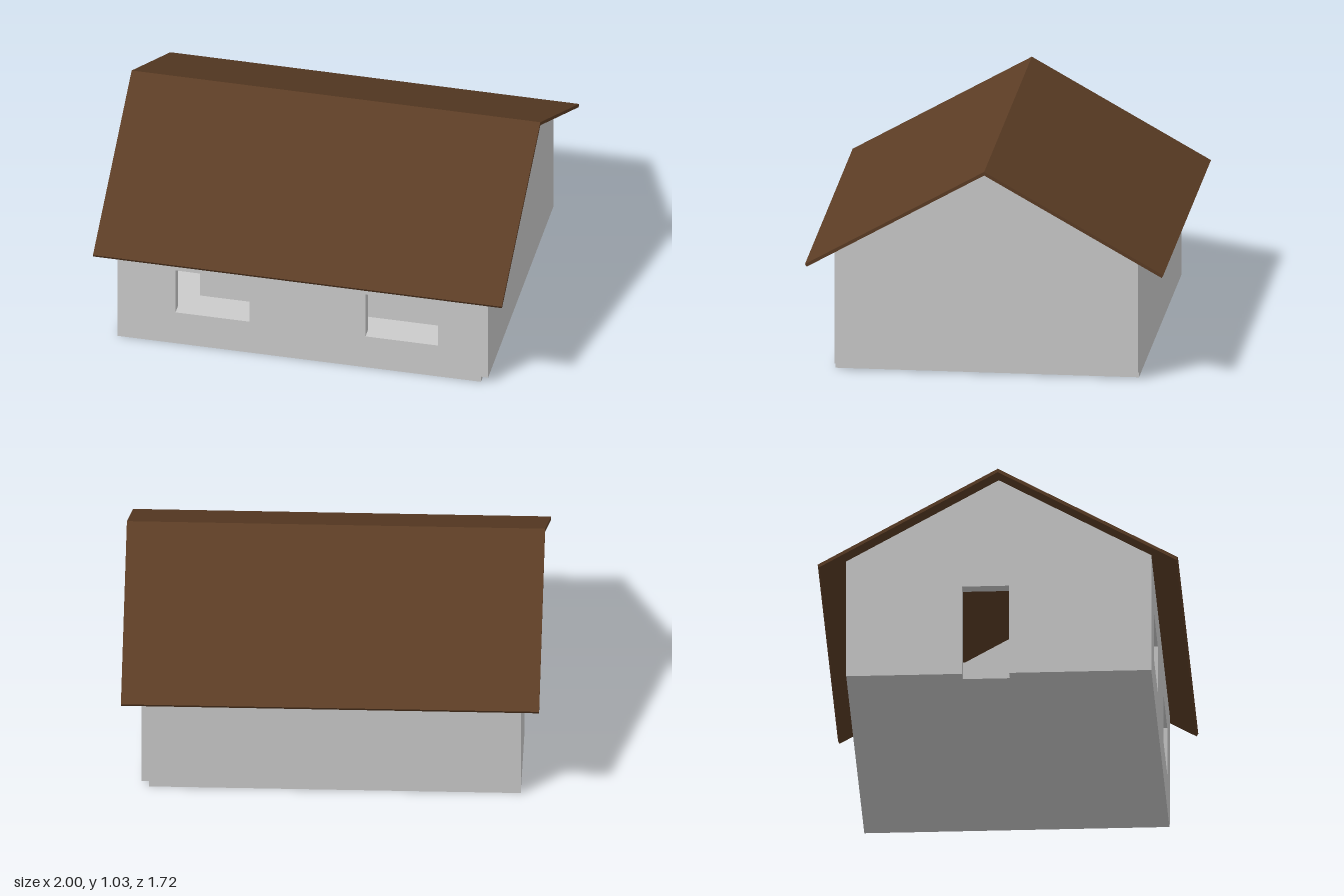
import * as THREE from 'three';

const WALL = 0.06, FLOOR = 0.03;
const X0 = -0.908, X1 = 0.905, Z = 0.73;
const RIDGE = 1.035, SLOPE = 0.564, ROOF = 0.018, EAVE = 0.862;
const roofUnder = (z) => RIDGE - ROOF - SLOPE * Math.abs(z);

const polygon = (points) => new THREE.Shape(points.map(([x, y]) => new THREE.Vector2(x, y)));
const extrude = (shape, depth) => new THREE.ExtrudeGeometry(shape, { depth, bevelEnabled: false });

export function createModel() {
  const house = new THREE.Group();
  house.name = 'house';
  const grey = new THREE.MeshStandardMaterial({ color: 0xcccccc, flatShading: true });
  const brown = new THREE.MeshStandardMaterial({ color: 0x5c3d25, flatShading: true });

  const add = (name, geometry, material = grey) => {
    const mesh = new THREE.Mesh(geometry, material);
    mesh.name = name;
    house.add(mesh);
  };

  // Floor slab, stopping short of the right end and notched at the door
  const door = { z0: -0.175, z1: 0.05, top: 0.46 };
  const slab = polygon([
    [X0, -Z], [0.87, -Z], [0.87, Z], [X0, Z],
    [X0, door.z1], [X0 + WALL, door.z1], [X0 + WALL, door.z0], [X0, door.z0],
  ]);
  add('floor', extrude(slab, FLOOR).rotateX(Math.PI / 2).translate(0, FLOOR, 0));

  // Gable walls, one with a doorway open to the ground
  const gable = (name, outline, x) =>
    add(name, extrude(polygon(outline), WALL).rotateY(-Math.PI / 2).translate(x, 0, 0));
  const gableTop = [[Z, FLOOR], [Z, roofUnder(Z)], [0, roofUnder(0)], [-Z, roofUnder(Z)], [-Z, FLOOR]];
  gable('rightGable', gableTop, X1);
  gable('doorGable', [
    ...gableTop,
    [door.z0, FLOOR], [door.z0, door.top], [door.z1, door.top], [door.z1, FLOOR],
  ], X0 + WALL);

  // Long walls between the gables
  const longWall = (name, windows, z) => {
    const a = X0 + WALL, b = X1 - WALL, top = roofUnder(Z);
    const shape = polygon([[a, FLOOR], [b, FLOOR], [b, top], [a, top]]);
    for (const [l, r] of windows) {
      shape.holes.push(polygon([[l, 0.18], [l, 0.425], [r, 0.425], [r, 0.18]]));
    }
    add(name, extrude(shape, WALL).translate(0, 0, z));
  };
  longWall('frontWall', [[-0.625, -0.262], [0.305, 0.66]], Z - WALL);
  longWall('backWall', [], -Z);

  // Low block standing inside the room
  add('innerBlock', new THREE.BoxGeometry(1.165, 0.18, 0.72).translate(-0.003, FLOOR + 0.09, 0));

  // Pitched roof: two thin slopes meeting at the ridge
  const eaveTop = RIDGE - SLOPE * EAVE;
  for (const side of [1, -1]) {
    const lip = EAVE - 0.008;
    const profile = polygon([
      [0, RIDGE], [side * EAVE, eaveTop], [side * lip, roofUnder(lip)], [0, RIDGE - ROOF],
    ]);
    add(side > 0 ? 'frontRoof' : 'backRoof',
      extrude(profile, 2).rotateY(-Math.PI / 2).translate(1, 0, 0), brown);
  }
  return house;
}
